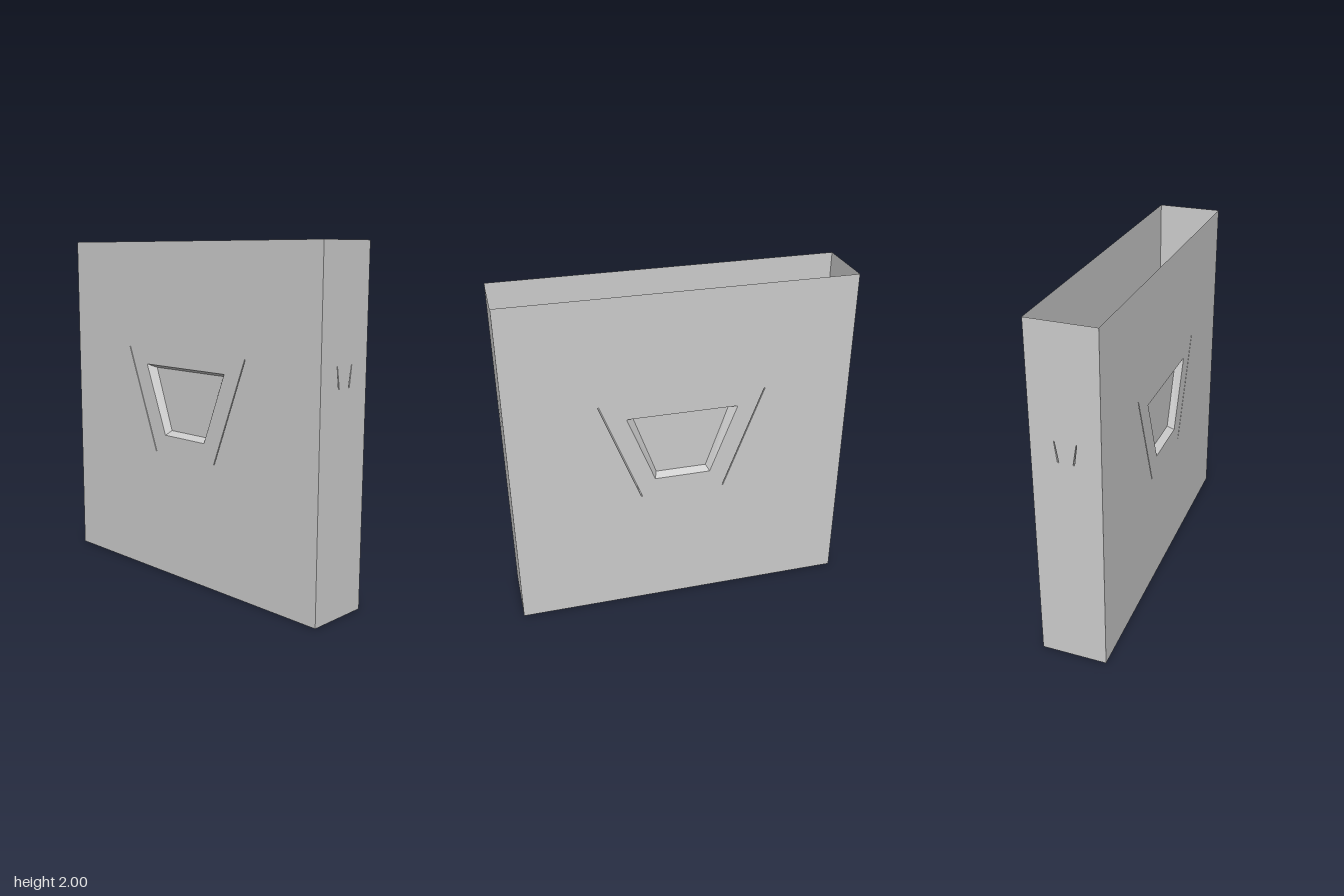
import * as THREE from 'three';

const material = new THREE.MeshStandardMaterial({
  color: 0xcccccc, flatShading: true, side: THREE.DoubleSide,
});
const HALF_DEPTH = 0.19;

// Closed 2D outline, mirrored from the points of its right half (listed bottom to top or top to bottom)
const mirrored = (half) => [...half.map(([x, y]) => [-x, y]).reverse(), ...half];
const toPoints = (pts) => pts.map(([x, y]) => new THREE.Vector2(x, y));

function addMesh(parent, name, geometry) {
  const mesh = new THREE.Mesh(geometry, material);
  mesh.name = name;
  parent.add(mesh);
  return mesh;
}

// Skin between rows of equally many 3D points
function skin(rows, flip = false) {
  const pos = [];
  for (let r = 0; r < rows.length - 1; r++) {
    for (let i = 0; i < rows[r].length - 1; i++) {
      const a = rows[r][i], b = rows[r][i + 1], c = rows[r + 1][i + 1], d = rows[r + 1][i];
      const quad = flip ? [a, d, c, a, c, b] : [a, b, c, a, c, d];
      quad.forEach((p) => pos.push(...p));
    }
  }
  const geometry = new THREE.BufferGeometry();
  geometry.setAttribute('position', new THREE.Float32BufferAttribute(pos, 3));
  geometry.computeVertexNormals();
  return geometry;
}

// Trapezoid recess: wide rim on the face, smaller floor set inward
const recessRim = mirrored([[0.165, 0.86], [0.325, 1.275]]);
const recessFloor = mirrored([[0.15, 0.885], [0.28, 1.255]]);

function addRecess(parent) {
  const ring = (pts, z) => [...pts, pts[0]].map(([x, y]) => [x, y, z]);
  addMesh(parent, 'recessWalls',
    skin([ring(recessRim, HALF_DEPTH), ring(recessFloor, 0.15)], true));
  addMesh(parent, 'recessFloor', new THREE.ShapeGeometry(new THREE.Shape(toPoints(recessFloor))))
    .position.z = 0.15;
}

// One half of the block: outer walls from the joint to endY, open at endY
function buildHalf(name, { endY, gap, tipGap, recess }) {
  const group = new THREE.Group();
  group.name = name;

  // Joint line on the faces, and the deeper line of the tongue and groove
  const edge = mirrored([[0.25 - gap, 0.75], [0.485 - gap, 1.37], [1, 1.37]]);
  const keel = mirrored([[0.38 - gap, 0.63], [0.62 - gap, 1.25], [1, 1.25]]);
  const neck = 0.062 - tipGap / 2, tip = 0.046 - tipGap;

  // Stepped joint surface, row by row from front to back
  const rows = [[edge, HALF_DEPTH], [edge, neck], [keel, tip], [keel, -tip], [edge, -neck], [edge, -HALF_DEPTH]]
    .map(([line, z]) => line.map(([x, y]) => [x, y, z]));
  addMesh(group, 'jointSurface', skin(rows, endY > 1));

  // Front and back walls
  const faceOutline = [[-1, endY], ...edge, [1, endY]];
  for (const [side, angle] of [['front', 0], ['back', Math.PI]]) {
    const face = new THREE.Group();
    face.name = side + 'Face';
    face.rotation.y = angle;
    const shape = new THREE.Shape(toPoints(faceOutline));
    if (recess) {
      shape.holes.push(new THREE.Path(toPoints(recessRim)));
      addRecess(face);
    }
    addMesh(face, side + 'Wall', new THREE.ShapeGeometry(shape)).position.z = HALF_DEPTH;
    group.add(face);
  }

  // End walls with the tongue or groove outline
  const endOutline = [[-HALF_DEPTH, endY],
    ...mirrored([[tip, 1.25], [neck, 1.37], [HALF_DEPTH, 1.37]]), [HALF_DEPTH, endY]];
  for (const s of [1, -1]) {
    const wall = addMesh(group, s > 0 ? 'leftWall' : 'rightWall',
      new THREE.ShapeGeometry(new THREE.Shape(toPoints(endOutline))));
    wall.rotation.y = s * Math.PI / 2;
    wall.position.x = s;
  }
  return group;
}

export function createModel() {
  const model = new THREE.Group();
  model.name = 'interlockingBlock';
  model.add(
    buildHalf('lowerHalf', { endY: 0, gap: 0, tipGap: 0, recess: false }),
    buildHalf('upperHalf', { endY: 2, gap: 0.006, tipGap: 0.008, recess: true }),
  );
  return model;
}
